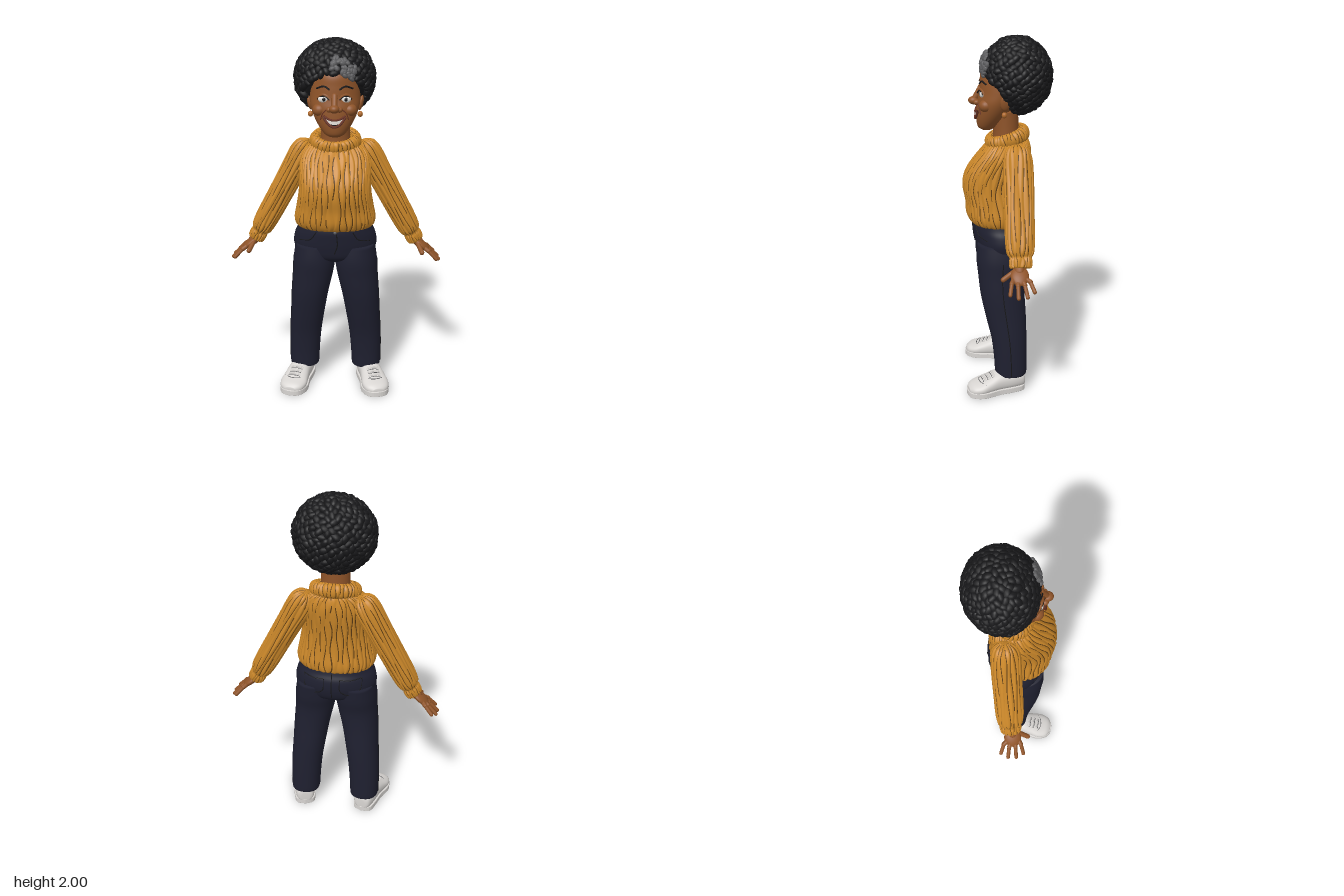
import * as THREE from 'three';
import { mergeGeometries } from 'three/addons/utils/BufferGeometryUtils.js';

const mat = (name, color) => Object.assign(new THREE.MeshStandardMaterial({ color }), { name });
const skin = mat('skin', 0x8f5429), black = mat('black hair', 0x18181a), grey = mat('grey', 0x5c5c5e);
const wool = mat('mustard wool', 0xc98629), groove = mat('wool groove', 0x5e3d14);
const denim = mat('dark denim', 0x1f2030), canvas = mat('shoe canvas', 0xd8d5d2);
const white = mat('white', 0xeeeae4), lip = mat('lip', 0x6b3324), gold = mat('earring copper', 0xb06a2c);

let seed = 7;
const rnd = () => (seed = (seed * 16807) % 2147483647) / 2147483647;

function mesh(parent, name, geo, material, p = [0, 0, 0]) {
  const m = new THREE.Mesh(geo, material);
  m.name = name;
  m.position.set(...p);
  parent.add(m);
  return m;
}
function ball(parent, name, material, p, s) {
  const m = mesh(parent, name, new THREE.SphereGeometry(1, 24, 16), material, p);
  m.scale.set(...s);
  return m;
}
function tube(parent, name, material, pts, r) {
  const curve = new THREE.CatmullRomCurve3(pts.map(p => new THREE.Vector3(...p)));
  return mesh(parent, name, new THREE.TubeGeometry(curve, 24, r, 6), material);
}
function capsule(parent, name, material, a, b, r) {
  const A = new THREE.Vector3(...a), B = new THREE.Vector3(...b), d = B.clone().sub(A);
  const m = mesh(parent, name, new THREE.CapsuleGeometry(r, d.length(), 6, 12), material);
  m.position.copy(A).add(B).multiplyScalar(0.5);
  m.quaternion.setFromUnitVectors(new THREE.Vector3(0, 1, 0), d.normalize());
  return m;
}

// Smoothly resample rings of [y, halfWidth, zBack, zFront, centreX]
function resample(rings, rows) {
  const n = rings.length - 1;
  return Array.from({ length: rows + 1 }, (_, k) => {
    const f = (k / rows) * n, i = Math.min(Math.floor(f), n - 1), t = f - i;
    const g = j => rings[Math.max(0, Math.min(n, j))];
    return [0, 1, 2, 3, 4].map(c => {
      const [a, b, d, e] = [g(i - 1), g(i), g(i + 1), g(i + 2)].map(r => r[c] ?? 0);
      return b + 0.5 * t * (d - a + t * (2 * a - 5 * b + 4 * d - e + t * (3 * (b - d) + e - a)));
    });
  });
}
// Surface of stacked superellipses; ribs > 0 adds sunken, broken dark knit lines
function loft(rings, { rows = 32, cols = 40, pow = 2, ribs = 0 } = {}) {
  const R = resample(rings, rows), pos = [], main = [], dark = [];
  const n = ribs ? ribs * 4 : cols, step = [0, 0.17, 0.44, 0.72];
  const streak = Array.from({ length: 4000 }, rnd);
  R.forEach(([y, rx, zb, zf, cx], j) => {
    for (let i = 0; i < n; i++) {
      const rib = Math.floor(i / 4);
      let a = (i / n) * Math.PI * 2, dent = 0;
      if (ribs) {
        a = ((rib + step[i % 4] + 0.16 * Math.sin(j * 0.45 + rib * 2.3)) / ribs) * Math.PI * 2;
        dent = i % 4 < 2 ? 0.006 : 0;
      }
      const c = Math.cos(a), s = Math.sin(a), e = 2 / pow;
      pos.push(cx + (rx - dent) * Math.sign(c) * Math.abs(c) ** e, y,
        (zb + zf) / 2 + ((zf - zb) / 2 - dent) * Math.sign(s) * Math.abs(s) ** e);
    }
  });
  for (let j = 0; j < rows; j++) for (let i = 0; i < n; i++) {
    const k = (i + 1) % n, a = j * n + i, b = j * n + k, c = a + n, d = b + n, rib = Math.floor(i / 4);
    const isDark = ribs && i % 4 === 0 && streak[rib * 20 + Math.floor((j + rib * 3) / 4) % 20] > 0.22;
    (isDark ? dark : main).push(a, c, b, b, c, d);
  }
  [0, rows].forEach((j, top) => {
    const [y, , zb, zf, cx] = R[j], q = pos.length / 3;
    pos.push(cx, y, (zb + zf) / 2);
    for (let i = 0; i < n; i++) {
      const a = j * n + i, b = j * n + (i + 1) % n;
      main.push(q, top ? b : a, top ? a : b);
    }
  });
  const geo = new THREE.BufferGeometry();
  geo.setAttribute('position', new THREE.Float32BufferAttribute(pos, 3));
  geo.setIndex(main.concat(dark));
  geo.computeVertexNormals();
  if (ribs) { geo.addGroup(0, main.length, 0); geo.addGroup(main.length, dark.length, 1); }
  return geo;
}
// Depth of a lofted surface at x, y (side +1 front, -1 back)
function depth(R, x, y, side = 1) {
  let j = R.findIndex(r => r[0] >= y);
  j = j < 1 ? 1 : j;
  const t = (y - R[j - 1][0]) / (R[j][0] - R[j - 1][0]), v = R[j].map((b, c) => THREE.MathUtils.lerp(R[j - 1][c], b, t));
  return (v[2] + v[3]) / 2 + side * (v[3] - v[2]) / 2 * Math.sqrt(Math.max(0, 1 - ((x - v[4]) / v[1]) ** 2));
}

function buildHead(g) {
  const rings = [[1.494, 0.03, 0.085, 0.135], [1.51, 0.055, 0.06, 0.158], [1.55, 0.086, 0.02, 0.166], [1.6, 0.113, -0.02, 0.166],
    [1.65, 0.13, -0.05, 0.162], [1.7, 0.134, -0.08, 0.151], [1.76, 0.13, -0.1, 0.146], [1.82, 0.115, -0.1, 0.136], [1.88, 0.07, -0.08, 0.085]];
  const R = resample(rings, 48), on = (x, y, o = 0) => [x, y, depth(R, x, y) + o];
  mesh(g, 'head', loft(rings, { rows: 48, cols: 64 }), skin);
  mesh(g, 'neck', loft([[1.4, 0.09, -0.075, 0.085], [1.47, 0.08, -0.065, 0.075], [1.6, 0.08, -0.06, 0.08]]), skin);
  // Nose
  capsule(g, 'noseBridge', skin, [0, 1.715, 0.143], [0, 1.665, 0.172], 0.017);
  ball(g, 'noseTip', skin, [0, 1.653, 0.18], [0.027, 0.022, 0.029]);
  // Smile, laid on the face between two curves
  const strip = (name, m, w, lo, hi, off) => {
    const geo = new THREE.PlaneGeometry(1, 1, 20, 6), p = geo.attributes.position;
    for (let i = 0; i < p.count; i++) {
      const x = p.getX(i) * 2 * w, y = THREE.MathUtils.lerp(lo(x), hi(x), p.getY(i) + 0.5);
      p.setXYZ(i, ...on(x, y, off));
    }
    geo.computeVertexNormals();
    mesh(g, name, geo, m);
  };
  const up = x => 1.588 + 0.02 * (x / 0.056) ** 2, low = x => 1.56 + 0.048 * (x / 0.056) ** 2;
  strip('mouth', black, 0.056, low, up, 0.004);
  strip('teeth', white, 0.047, x => Math.max(low(x) + 0.003, up(x) - 0.019), x => up(x) - 0.001, 0.007);
  const xs = [-0.058, -0.04, -0.02, 0, 0.02, 0.04, 0.058];
  tube(g, 'upperLip', lip, xs.map(x => on(x, up(x) + 0.004, 0.005)), 0.006);
  tube(g, 'lowerLip', lip, xs.map(x => on(x, low(x) - 0.004, 0.005)), 0.0075);
  for (const s of [-1, 1]) {
    ball(g, 'nostrilWing', skin, [s * 0.027, 1.647, 0.164], [0.017, 0.015, 0.018]);
    ball(g, 'cheek', skin, [s * 0.08, 1.638, 0.116], [0.038, 0.034, 0.038]);
    tube(g, 'smileLine', lip, [on(s * 0.04, 1.648, 0.001), on(s * 0.062, 1.625, 0.001), on(s * 0.074, 1.59, 0.001)], 0.003);
    const e = on(s * 0.058, 1.698, -0.004);
    ball(g, 'eye', white, e, [0.029, 0.019, 0.015]);
    ball(g, 'iris', black, [e[0] + 0.002, e[1], e[2] + 0.009], [0.011, 0.012, 0.008]);
    tube(g, 'upperLid', skin, [-0.034, -0.017, 0, 0.017, 0.034].map(d => on(s * 0.058 + d, 1.722 - 18 * d * d, 0.006)), 0.007);
    tube(g, 'lash', black, [-0.032, -0.016, 0, 0.016, 0.032].map(d => on(s * 0.058 + d, 1.715 - 18 * d * d, 0.011)), 0.003);
    tube(g, 'eyebrow', black, [[0.025, 1.748], [0.055, 1.764], [0.095, 1.75]].map(([x, y]) => on(s * x, y, 0.002)), 0.005);
    const ear = ball(g, 'ear', skin, [s * 0.137, 1.66, 0.018], [0.014, 0.042, 0.026]);
    ear.rotation.z = -s * 0.2;
    ball(g, 'earring', gold, [s * 0.134, 1.598, 0.022], [0.014, 0.016, 0.014]);
  }
}

function buildHair(g) {
  const C = [-0.005, 1.783, -0.05], S = [0.207, 0.195, 0.18];
  const limit = y => (y > 1.835 ? 1 : -0.06 + 0.75 * (y - 1.58));
  const base = new THREE.SphereGeometry(1, 40, 28), p = base.attributes.position;
  for (let i = 0; i < p.count; i++) {
    const y = C[1] + p.getY(i) * S[1] * 0.95;
    p.setXYZ(i, C[0] + p.getX(i) * S[0] * 0.95, y, Math.min(C[2] + p.getZ(i) * S[2] * 0.93, limit(y)));
  }
  base.computeVertexNormals();
  mesh(g, 'hairBase', base, black);
  // Tight curls spread evenly over the crown
  const curl = (n, r, lift) => {
    const geo = new THREE.IcosahedronGeometry(1, 1), d = new THREE.Vector3(n.x / S[0], n.y / S[1], n.z / S[2]).normalize();
    const q = new THREE.Quaternion().setFromUnitVectors(new THREE.Vector3(0, 1, 0), d);
    q.multiply(new THREE.Quaternion().setFromEuler(new THREE.Euler(0.5 * (rnd() - 0.5), rnd() * 6.28, 0.5 * (rnd() - 0.5))));
    const at = new THREE.Vector3(C[0] + n.x * S[0], C[1] + n.y * S[1], C[2] + n.z * S[2]).addScaledVector(d, lift);
    return geo.applyMatrix4(new THREE.Matrix4().compose(at, q, new THREE.Vector3(r * 1.35, r * 0.85, r * 0.9)));
  };
  const curls = [], streak = [], N = 520;
  for (let i = 0; i < N; i++) {
    const y = 1 - (2 * i + 1) / N, r = Math.sqrt(1 - y * y), a = i * 2.39996;
    const n = new THREE.Vector3(r * Math.cos(a), y, r * Math.sin(a));
    if (C[2] + n.z * S[2] < limit(C[1] + y * S[1])) curls.push(curl(n, 0.019 + 0.005 * rnd(), 0.004 * (rnd() - 0.5)));
  }
  // Grey lock above the forehead
  for (let i = 0; i < 40; i++) {
    const t = rnd(), x = (-0.015 + 0.115 * t - C[0]) / S[0], y = (1.885 - 0.06 * t + 0.07 * (rnd() - 0.5) - C[1]) / S[1];
    streak.push(curl(new THREE.Vector3(x, y, Math.sqrt(1 - x * x - y * y)), 0.014, 0.019));
  }
  mesh(g, 'hairCurls', mergeGeometries(curls), black);
  mesh(g, 'greyLock', mergeGeometries(streak), grey);
}

function buildSweater(g) {
  const knit = [wool, groove];
  mesh(g, 'sweaterBody', loft([[0.985, 0.18, -0.1, 0.18], [0.988, 0.212, -0.122, 0.208], [1.03, 0.225, -0.128, 0.23], [1.1, 0.213, -0.118, 0.234],
    [1.18, 0.2, -0.115, 0.248], [1.25, 0.197, -0.12, 0.236], [1.31, 0.197, -0.128, 0.2], [1.37, 0.192, -0.132, 0.15],
    [1.415, 0.165, -0.125, 0.11], [1.442, 0.12, -0.11, 0.075], [1.45, 0.08, -0.08, 0.05]], { rows: 48, ribs: 44, pow: 2.2 }), knit);
  const collar = mesh(g, 'collar', loft([[-0.042, 0.115, -0.105, 0.105], [-0.027, 0.137, -0.12, 0.12], [0, 0.143, -0.126, 0.126], [0.025, 0.133, -0.118, 0.118],
    [0.037, 0.112, -0.1, 0.1], [0.028, 0.092, -0.082, 0.082], [-0.02, 0.086, -0.076, 0.076]], { rows: 20, ribs: 36 }), knit, [0, 1.452, 0]);
  collar.rotation.x = 0.3;
  for (const s of [-1, 1]) {
    const arm = new THREE.Group();
    arm.name = s > 0 ? 'leftArm' : 'rightArm';
    arm.position.set(s * 0.17, 1.39, -0.045);
    arm.rotation.z = s * 0.5;
    g.add(arm);
    mesh(arm, 'sleeve', loft([[-0.6, 0.035, -0.04, 0.045], [-0.597, 0.047, -0.055, 0.06], [-0.565, 0.05, -0.06, 0.063], [-0.545, 0.047, -0.057, 0.06],
      [-0.52, 0.06, -0.07, 0.074], [-0.45, 0.067, -0.077, 0.08], [-0.3, 0.07, -0.08, 0.08], [-0.15, 0.073, -0.083, 0.08],
      [-0.03, 0.076, -0.08, 0.078], [0.03, 0.06, -0.062, 0.062], [0.055, 0.02, -0.025, 0.025]], { rows: 44, ribs: 18 }), knit);
    // Hand, palm down with fingers fanned front to back
    const hand = new THREE.Group();
    hand.name = s > 0 ? 'leftHand' : 'rightHand';
    hand.position.set(s * 0.45, 0.87, -0.035);
    hand.rotation.z = -s * 0.68;
    g.add(hand);
    capsule(hand, 'wrist', skin, [-s * 0.03, 0.01, 0], [s * 0.03, 0, 0], 0.028);
    ball(hand, 'palm', skin, [s * 0.055, 0, 0], [0.058, 0.021, 0.048]);
    [[-0.033, -0.072, 0.148], [-0.012, -0.034, 0.177], [0.012, 0.012, 0.182], [0.033, 0.054, 0.162]].forEach(([z0, z1, x]) => {
      const m = x * 0.62;
      capsule(hand, 'finger', skin, [s * 0.075, 0, z0], [s * m, 0.003, (z0 + z1) / 2], 0.0125);
      capsule(hand, 'fingerTip', skin, [s * m, 0.003, (z0 + z1) / 2], [s * x, -0.004, z1], 0.0105);
    });
    capsule(hand, 'thumb', skin, [s * 0.025, -0.004, 0.025], [s * 0.065, -0.018, 0.085], 0.0135);
  }
}

function buildTrousers(g) {
  const hips = [[0.775, 0.09, -0.06, 0.11], [0.81, 0.2, -0.112, 0.165], [0.87, 0.232, -0.134, 0.184], [0.93, 0.226, -0.134, 0.193], [0.97, 0.21, -0.12, 0.196], [1.01, 0.2, -0.11, 0.19]];
  const R = resample(hips, 24), at = (x, y, f) => [x, y, depth(R, x, y, f) + f * 0.001];
  mesh(g, 'hips', loft(hips, { rows: 24, cols: 56 }), denim);
  tube(g, 'fly', black, [at(0.012, 0.97, 1), at(0.016, 0.9, 1), at(0, 0.85, 1)], 0.003);
  tube(g, 'backSeam', black, [at(0, 0.98, -1), at(0, 0.9, -1), at(0, 0.83, -1)], 0.003);
  ball(g, 'button', grey, at(0.004, 0.978, 1), [0.009, 0.009, 0.005]);
  for (const s of [-1, 1]) {
    const leg = [[0.103, 0.078, -0.09, 0.07], [0.108, 0.084, -0.1, 0.08], [0.2, 0.087, -0.101, 0.086], [0.32, 0.091, -0.1, 0.1], [0.45, 0.097, -0.097, 0.13],
      [0.58, 0.105, -0.09, 0.157], [0.7, 0.114, -0.092, 0.17], [0.79, 0.118, -0.112, 0.178], [0.88, 0.106, -0.122, 0.172]];
    [0.18, 0.181, 0.179, 0.172, 0.158, 0.143, 0.125, 0.117, 0.115].forEach((x, i) => leg[i].push(s * x));
    mesh(g, s > 0 ? 'leftTrouserLeg' : 'rightTrouserLeg', loft(leg, { rows: 36, cols: 44, pow: 2.3 }), denim);
    tube(g, 'sideSeam', black, leg.slice(1, -1).map(([y, rx, zb, zf, cx]) => [cx + s * rx, y, (zb + zf) / 2]), 0.003);
    tube(g, 'frontPocketSeam', black, [at(s * 0.1, 0.975, 1), at(s * 0.13, 0.93, 1), at(s * 0.195, 0.91, 1)], 0.003);
    tube(g, 'backPocketSeam', black, [at(s * 0.045, 0.95, -1), at(s * 0.05, 0.88, -1), at(s * 0.1, 0.85, -1), at(s * 0.155, 0.88, -1), at(s * 0.165, 0.95, -1)], 0.003);
    tube(g, 'backPocketTop', black, [at(s * 0.045, 0.95, -1), at(s * 0.1, 0.945, -1), at(s * 0.165, 0.95, -1)], 0.003);
  }
}

function buildShoe(g, s) {
  const shoe = new THREE.Group();
  shoe.name = s > 0 ? 'leftShoe' : 'rightShoe';
  shoe.position.set(s * 0.213, 0, 0.073);
  shoe.rotation.y = s * 0.25;
  g.add(shoe);
  const outline = new THREE.Shape();
  outline.moveTo(0, -0.163);
  outline.splineThru([[0.05, -0.145], [0.062, -0.08], [0.064, 0], [0.078, 0.09], [0.052, 0.155], [0, 0.172], [-0.052, 0.155], [-0.078, 0.09], [-0.064, 0], [-0.062, -0.08], [-0.05, -0.145], [0, -0.163]].map(p => new THREE.Vector2(...p)));
  const sole = new THREE.ExtrudeGeometry(outline, { depth: 0.026, bevelEnabled: true, bevelSize: 0.003, bevelThickness: 0.003, bevelSegments: 2, curveSegments: 4 });
  mesh(shoe, 'sole', sole.rotateX(Math.PI / 2), canvas, [0, 0.029, 0]);
  // Upper runs heel to toe; depths are negated heights
  const upper = [[-0.163, 0.025, -0.08, -0.02], [-0.15, 0.05, -0.112, -0.012], [-0.09, 0.062, -0.122, -0.008], [-0.01, 0.065, -0.122, -0.008],
    [0.05, 0.072, -0.1, -0.008], [0.1, 0.077, -0.08, -0.008], [0.145, 0.062, -0.066, -0.01], [0.168, 0.03, -0.048, -0.018]];
  mesh(shoe, 'upper', loft(upper, { pow: 2.3 }).rotateX(Math.PI / 2), canvas);
  const R = resample(upper, 32), top = (x, z) => [x, 0.001 - depth(R, x, z, -1), z];
  for (const z of [0.025, 0.05, 0.075]) {
    tube(shoe, 'lace', canvas, [-0.036, -0.018, 0, 0.018, 0.036].map(x => top(x, z)), 0.006);
    tube(shoe, 'laceGap', grey, [-0.034, 0, 0.034].map(x => top(x, z + 0.011)), 0.002);
  }
  tube(shoe, 'toeSeam', grey, [-0.06, -0.03, 0, 0.03, 0.06].map(x => top(x, 0.105 - 8 * x * x)), 0.002);
}

export function createModel() {
  const g = new THREE.Group();
  g.name = 'standingWoman';
  buildHead(g);
  buildHair(g);
  buildSweater(g);
  buildTrousers(g);
  for (const s of [-1, 1]) buildShoe(g, s);
  return g;
}
